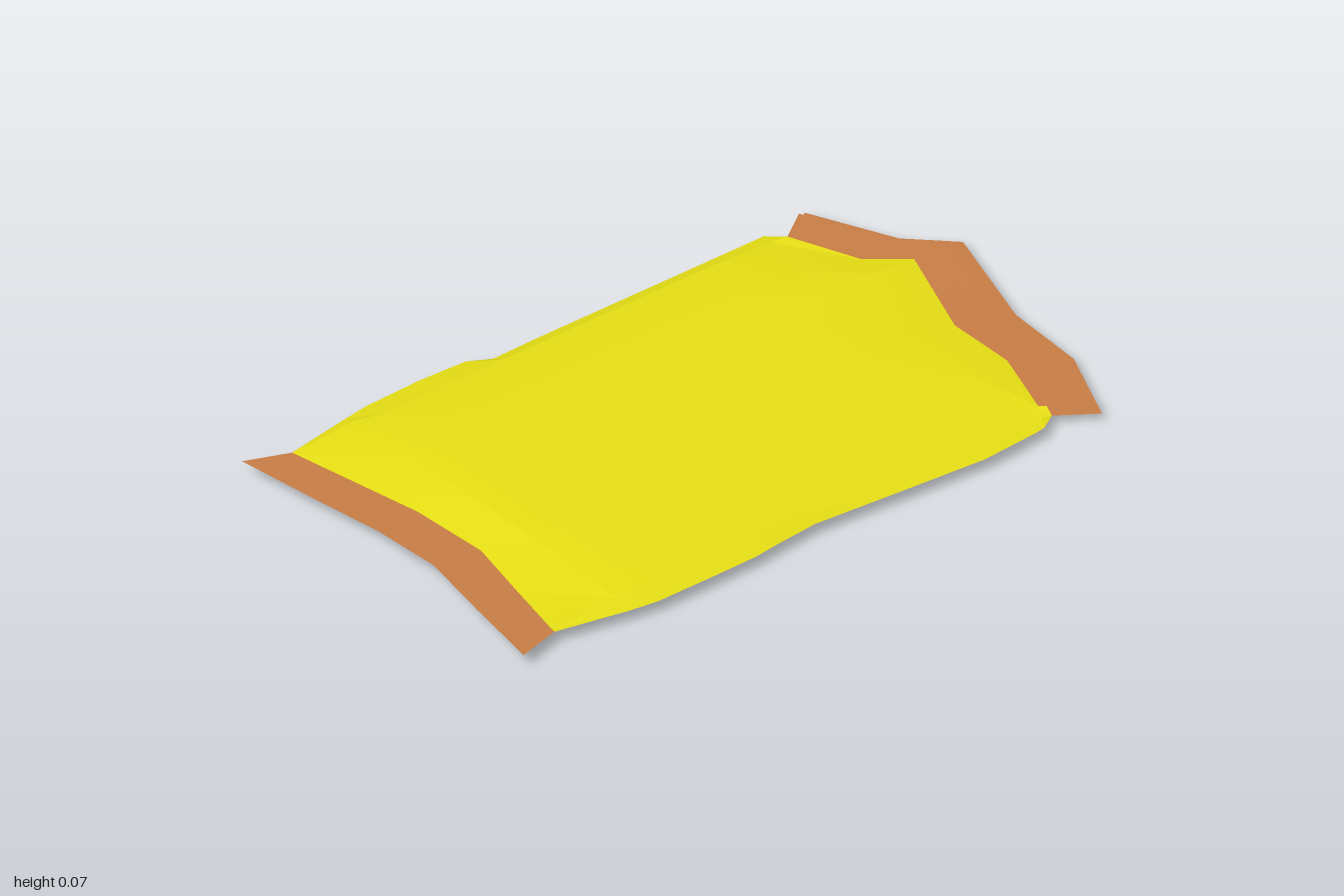
import * as THREE from 'three';
import { toCreasedNormals } from 'three/addons/utils/BufferGeometryUtils.js';

const film = new THREE.MeshStandardMaterial({ color: 0xe6de14, side: THREE.DoubleSide });
const seal = new THREE.MeshStandardMaterial({ color: 0xc87d45, side: THREE.DoubleSide });

// Skin rows of [x, y, z] points, running back to front and left to right as seen from above
function sheet(name, rows, material, faceDown = false) {
  const n = rows[0].length;
  const index = [];
  for (let r = 0; r < rows.length - 1; r++) {
    for (let c = 0; c < n - 1; c++) {
      const a = r * n + c, b = a + 1, d = a + n, e = d + 1;
      if (faceDown) index.push(a, b, d, b, e, d);
      else index.push(a, d, b, b, d, e);
    }
  }
  const geometry = new THREE.BufferGeometry();
  geometry.setAttribute('position', new THREE.Float32BufferAttribute(rows.flat(2), 3));
  geometry.setIndex(index);
  const mesh = new THREE.Mesh(toCreasedNormals(geometry, 0.1), material);
  mesh.name = name;
  return mesh;
}

const at = (points, y) => points.map(([x, z]) => [x, y, z]);

// Side outline of the packet: [z, left x, right x]
const outline = [
  [-0.42, -0.54, 0.562], [-0.2, -0.54, 0.545], [0.08, -0.54, 0.522], [0.22, -0.537, 0.535],
  [0.28, -0.57, 0.543], [0.42, -0.576, 0.545], [0.59, -0.57, 0.545],
];
const inner = [-0.5, -0.31, -0.2, 0.08, 0.29, 0.49];
const edgeY = 0.037;

// Torn back edges and the crease where the panels start to thin out
const backCrease = [[-0.49, -0.61], [-0.29, -0.61], [-0.21, -0.7], [0.06, -0.6], [0.29, -0.6], [0.485, -0.6]];
const upperBack = [[-0.48, -0.655], [-0.29, -0.73], [-0.21, -0.83], [0.08, -0.72], [0.28, -0.72], [0.485, -0.65]];
const lowerBack = [[-0.5, -0.685], [-0.3, -0.77], [-0.21, -0.87], [0.09, -0.765], [0.3, -0.765], [0.5, -0.68]];
const upperTip = [[-0.54, -0.74], [-0.32, -0.83], [-0.215, -0.93], [0.1, -0.82], [0.31, -0.82], [0.54, -0.735]];
const lowerTip = [[-0.573, -0.785], [-0.34, -0.89], [-0.23, -1], [0.1, -0.895], [0.34, -0.88], [0.57, -0.78]];

// Closed front edge and its outer tip
const frontEdge = [[-0.525, 0.86], [-0.515, 0.858], [-0.3, 0.82], [-0.13, 0.79], [0.1, 0.78], [0.29, 0.825], [0.48, 0.868], [0.49, 0.87]];
const frontTip = [[-0.57, 0.98], [-0.555, 0.978], [-0.32, 0.948], [-0.12, 0.92], [0.08, 0.912], [0.3, 0.955], [0.51, 0.992], [0.525, 0.996]];

// One face of the packet: puffed middle, thin at the sides and both ends
function panel(name, back, backY, shoulderY, middleY, faceDown) {
  const heights = inner.map((_, i) => (i === 0 || i === 5 ? shoulderY : middleY));
  const row = (points, z, left, right) => [
    [left, edgeY, z],
    ...points.map(([x, pz], i) => [x, heights[i], pz]),
    [right, edgeY, z],
  ];
  const rows = [
    [[-0.54, edgeY, -0.63], ...at(back, backY), [0.545, edgeY, -0.62]],
    row(backCrease, -0.59, -0.54, 0.55),
  ];
  for (const [z, left, right] of outline) {
    rows.push(row(inner.map((x) => [x, z]), z, left, right));
  }
  // Pinched corners just before the front seal
  const pinch = row(inner.map((x) => [x, 0.67]), 0.67, -0.558, 0.533);
  pinch.forEach((p, i) => {
    if (i > 0 && i < 7) p[1] = edgeY + (p[1] - edgeY) * 0.8;
  });
  pinch[1][0] = -0.522;
  rows.push(pinch, at(frontEdge, edgeY));
  return sheet(name, rows, film, faceDown);
}

export function createModel() {
  const packet = new THREE.Group();
  packet.name = 'openedPacket';
  packet.add(
    panel('upperPanel', upperBack, 0.056, 0.053, 0.067, false),
    panel('lowerPanel', lowerBack, 0.024, 0.02, 0.002, true),
    // Back seal pulled apart into two strips, front seal still closed
    sheet('upperBackSeal', [at(upperTip, 0.057), at(upperBack, 0.056)], seal),
    sheet('lowerBackSeal', [at(lowerTip, 0.024), at(lowerBack, 0.024)], seal, true),
    sheet('frontSeal', [at(frontEdge, edgeY), at(frontTip, 0.039)], seal),
  );
  return packet;
}
